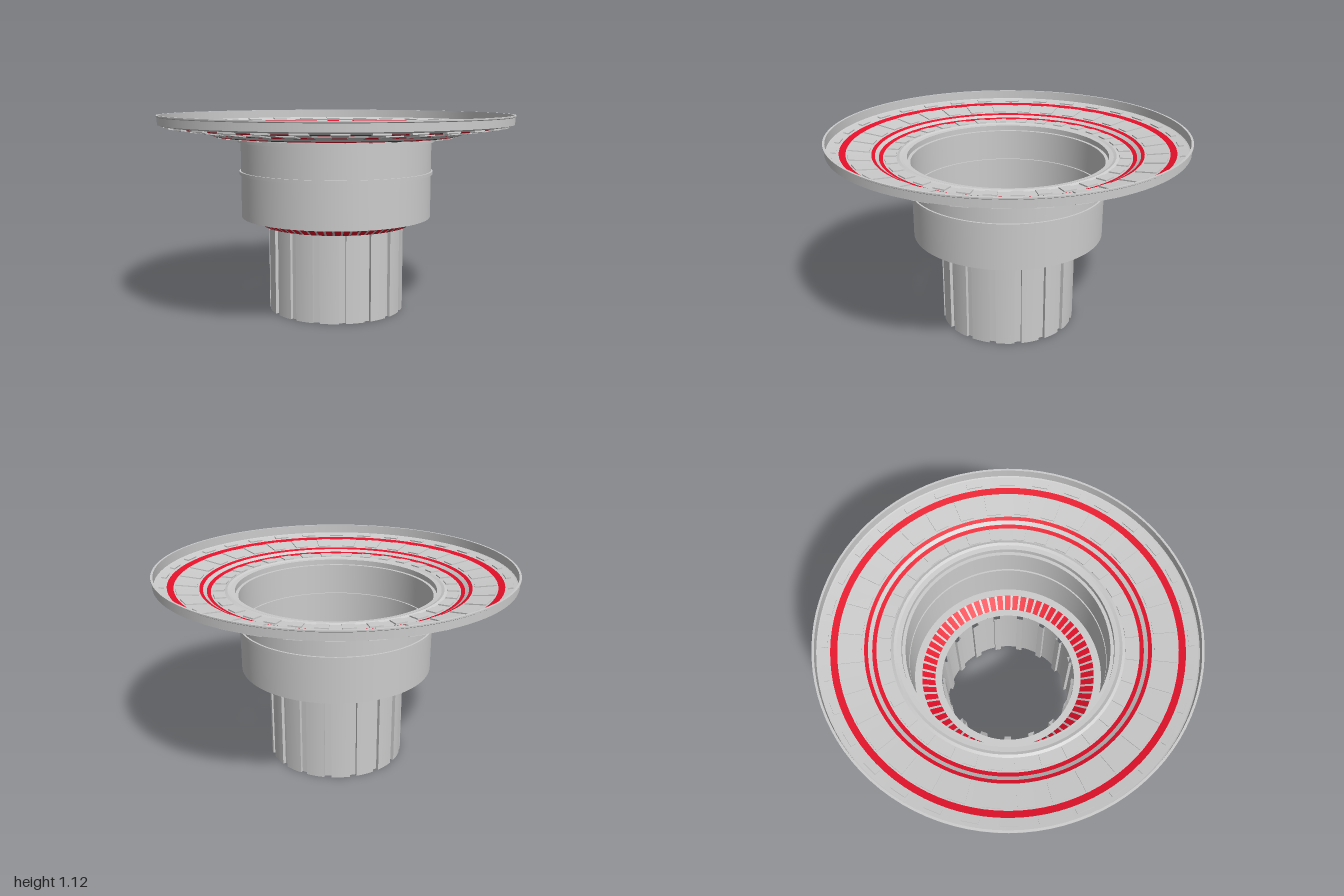
import * as THREE from 'three';
import { mergeGeometries, toCreasedNormals } from 'three/addons/utils/BufferGeometryUtils.js';

const SEGMENTS = 96;
const grey = new THREE.MeshStandardMaterial({ color: 0xcccccc, side: THREE.DoubleSide });
const red = new THREE.MeshStandardMaterial({ color: 0xe8102a, side: THREE.DoubleSide });

function addMesh(group, name, geometry, material = grey) {
  const mesh = new THREE.Mesh(geometry, material);
  mesh.name = name;
  group.add(mesh);
}

// Revolved shell whose profile keeps a crisp edge at every [radius, height] point.
function shell(profile, start = 0, sweep = Math.PI * 2, segments = SEGMENTS) {
  const bands = [];
  for (let i = 0; i + 1 < profile.length; i++) {
    const pair = [profile[i], profile[i + 1]].map(([r, y]) => new THREE.Vector2(r, y));
    bands.push(new THREE.LatheGeometry(pair, segments, start, sweep));
  }
  return mergeGeometries(bands);
}

// Ring of thin tapered blocks lying on a sloping plate.
function blockRing({ count, offset, r0, r1, w0, w1, y0, y1, thick }) {
  const length = Math.hypot(r1 - r0, y1 - y0);
  const outline = new THREE.Shape([
    new THREE.Vector2(-w0 / 2, 0), new THREE.Vector2(w0 / 2, 0),
    new THREE.Vector2(w1 / 2, length), new THREE.Vector2(-w1 / 2, length),
  ]);
  const block = new THREE.ExtrudeGeometry(outline, { depth: thick, bevelEnabled: false });
  block.rotateX(Math.PI / 2 - Math.atan2(y1 - y0, r1 - r0));
  block.translate(0, y0 + thick / 2, r0);
  const ring = [];
  for (let i = 0; i < count; i++) {
    ring.push(block.clone().rotateY(((i + offset) / count) * Math.PI * 2));
  }
  return mergeGeometries(ring);
}

// Open tube wall with narrow channels pressed inwards.
function flutedTube(radius, depth, height, flutes, phase) {
  const step = (Math.PI * 2) / flutes;
  const half = 0.05;
  const arcs = 5;
  const loop = [];
  const put = (r, a) => loop.push([r * Math.sin(a), r * Math.cos(a)]);
  for (let i = 0; i < flutes; i++) {
    const a = phase + i * step;
    put(radius - depth, a - half);
    put(radius - depth, a + half);
    for (let k = 0; k <= arcs; k++) put(radius, a + half + ((step - 2 * half) * k) / arcs);
  }
  const positions = [];
  loop.forEach(([x, z], i) => {
    const [u, w] = loop[(i + 1) % loop.length];
    positions.push(x, 0, z, u, 0, w, u, height, w, x, 0, z, u, height, w, x, height, z);
  });
  const geometry = new THREE.BufferGeometry();
  geometry.setAttribute('position', new THREE.Float32BufferAttribute(positions, 3));
  return toCreasedNormals(geometry, 0.4);
}

export function createModel() {
  const model = new THREE.Group();
  model.name = 'flangedFunnel';

  // Outer rim and the shallow dished plate
  addMesh(model, 'outerRim', shell([
    [0.92, 1.053], [0.982, 1.064], [0.994, 1.068], [0.994, 1.108], [1.0, 1.112], [1.0, 1.119], [0.988, 1.119], [0.988, 1.068],
  ]));
  addMesh(model, 'outerRedRing', shell([[0.885, 1.045], [0.92, 1.053]]), red);
  addMesh(model, 'tilePlate', shell([[0.75, 1.027], [0.885, 1.045]]));
  addMesh(model, 'middleRedRing', shell([[0.731, 1.02], [0.75, 1.027]]), red);
  addMesh(model, 'dividerRing', shell([[0.711, 1.008], [0.731, 1.02]]));
  addMesh(model, 'innerRedRing', shell([[0.69, 1.002], [0.711, 1.008]]), red);
  addMesh(model, 'innerPlate', shell([[0.615, 1.0], [0.69, 1.002]]));

  // Blocks set around the plate
  addMesh(model, 'rimBlocks', blockRing({
    count: 32, offset: 0, r0: 0.932, r1: 0.96, w0: 0.088, w1: 0.088, y0: 1.055, y1: 1.06, thick: 0.016,
  }));
  addMesh(model, 'largeTiles', blockRing({
    count: 32, offset: 0.5, r0: 0.76, r1: 0.875, w0: 0.076, w1: 0.09, y0: 1.029, y1: 1.044, thick: 0.012,
  }));
  addMesh(model, 'smallTiles', blockRing({
    count: 32, offset: 0.5, r0: 0.617, r1: 0.68, w0: 0.062, w1: 0.07, y0: 1.0, y1: 1.002, thick: 0.014,
  }));

  // Stepped throat and drum with its raised band
  addMesh(model, 'throatSteps', shell([
    [0.615, 1.0], [0.6, 1.006], [0.585, 1.0], [0.56, 0.998], [0.56, 0.968], [0.542, 0.968],
  ]));
  addMesh(model, 'drum', shell([
    [0.542, 0.968], [0.542, 0.802], [0.552, 0.802], [0.552, 0.784], [0.542, 0.784], [0.542, 0.54], [0.5, 0.54],
  ]));

  // Cone of alternating red panels and grey ribs
  const cone = [[0.427, 0.495], [0.5, 0.54]];
  const panels = [];
  const ribs = [];
  const step = (Math.PI * 2) / 64;
  for (let i = 0; i < 64; i++) {
    panels.push(shell(cone, (i - 0.36) * step, 0.72 * step, 1));
    ribs.push(shell(cone, (i + 0.36) * step, 0.28 * step, 1));
  }
  addMesh(model, 'conePanels', mergeGeometries(panels), red);
  addMesh(model, 'coneRibs', mergeGeometries(ribs));
  addMesh(model, 'tubeCollar', shell([[0.388, 0.495], [0.427, 0.495]]));

  // Fluted tube, open at both ends
  addMesh(model, 'flutedTube', flutedTube(0.388, 0.018, 0.495, 17, 0.07));
  return model;
}
